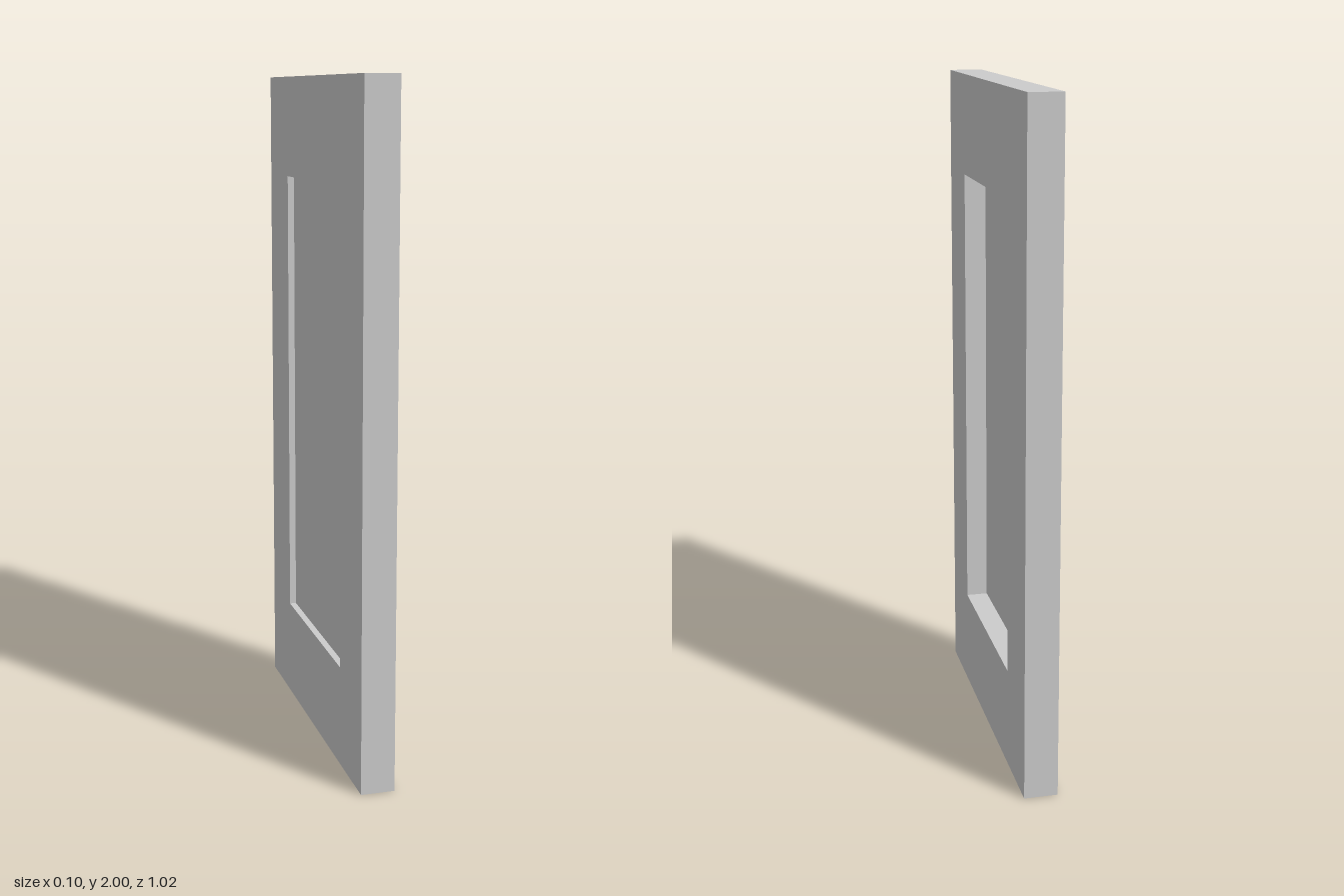
import * as THREE from 'three';

const HEIGHT = 2, WIDTH = 1.025, DEPTH = 0.1;
const OPEN_W = 0.592, OPEN_H = 1.395;

// Rectangle centred on x, and on half the height in y
function rectangle(PathType, w, h) {
  const path = new PathType();
  path.moveTo(-w / 2, (HEIGHT - h) / 2);
  path.lineTo(w / 2, (HEIGHT - h) / 2);
  path.lineTo(w / 2, (HEIGHT + h) / 2);
  path.lineTo(-w / 2, (HEIGHT + h) / 2);
  path.closePath();
  return path;
}

export function createModel() {
  const group = new THREE.Group();
  group.name = 'cabinetDoor';
  const material = new THREE.MeshStandardMaterial({ color: 0xcccccc });

  // Frame: a slab with a rectangular opening, turned to face sideways
  const outline = rectangle(THREE.Shape, WIDTH, HEIGHT);
  outline.holes.push(rectangle(THREE.Path, OPEN_W, OPEN_H));
  const frameGeometry = new THREE.ExtrudeGeometry(outline, { depth: DEPTH, bevelEnabled: false });
  frameGeometry.translate(0, 0, -DEPTH / 2).rotateY(Math.PI / 2);
  const frame = new THREE.Mesh(frameGeometry, material);
  frame.name = 'frame';

  // Thin panel, set deep on the +x side and shallow on the -x side
  const front = -0.016, back = -0.03;
  const panel = new THREE.Mesh(new THREE.BoxGeometry(front - back, OPEN_H, OPEN_W), material);
  panel.position.set((front + back) / 2, HEIGHT / 2, 0);
  panel.name = 'insetPanel';

  group.add(frame, panel);
  return group;
}
